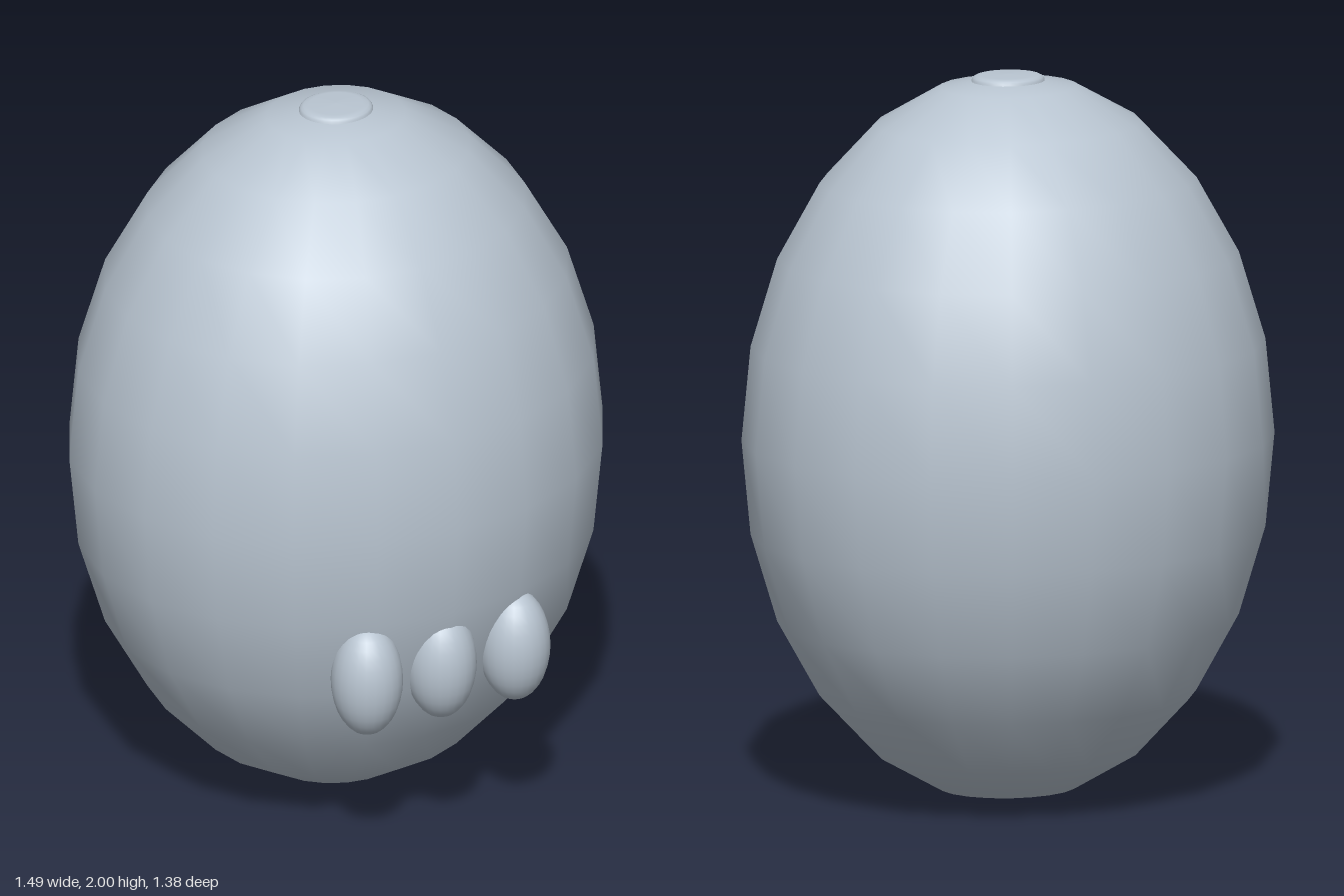
import * as THREE from 'three';

export function createModel() {
  const model = new THREE.Group();
  const paleGrey = new THREE.MeshStandardMaterial({ color: 0xb9c5d1 });
  paleGrey.name = 'paleBlueGrey';

  function addPart(name, geometry, position, scale) {
    const mesh = new THREE.Mesh(geometry, paleGrey);
    mesh.name = name;
    mesh.position.set(...position);
    mesh.scale.set(...scale);
    model.add(mesh);
  }

  // Egg-shaped body with a visibly faceted outline and smooth shading
  addPart('body', new THREE.SphereGeometry(1, 20, 12), [0, 1, 0], [0.745, 1, 0.69]);

  // Three rounded toes along the lower front
  const toe = new THREE.SphereGeometry(1, 24, 16);
  ['rightToe', 'middleToe', 'leftToe'].forEach((name, i) => {
    addPart(name, toe, [(i - 1) * 0.228, 0.567, 0.592], [0.098, 0.162, 0.1]);
  });

  // Small low button on the crown, with a soft rounded rim
  const profile = [
    [0.108, 1.968], [0.104, 1.978], [0.102, 1.986], [0.098, 1.992],
    [0.09, 1.996], [0.075, 1.998], [0, 2],
  ].map(([r, y]) => new THREE.Vector2(r, y));
  addPart('crownButton', new THREE.LatheGeometry(profile, 32), [0, 0, 0], [1, 1, 0.92]);

  return model;
}
